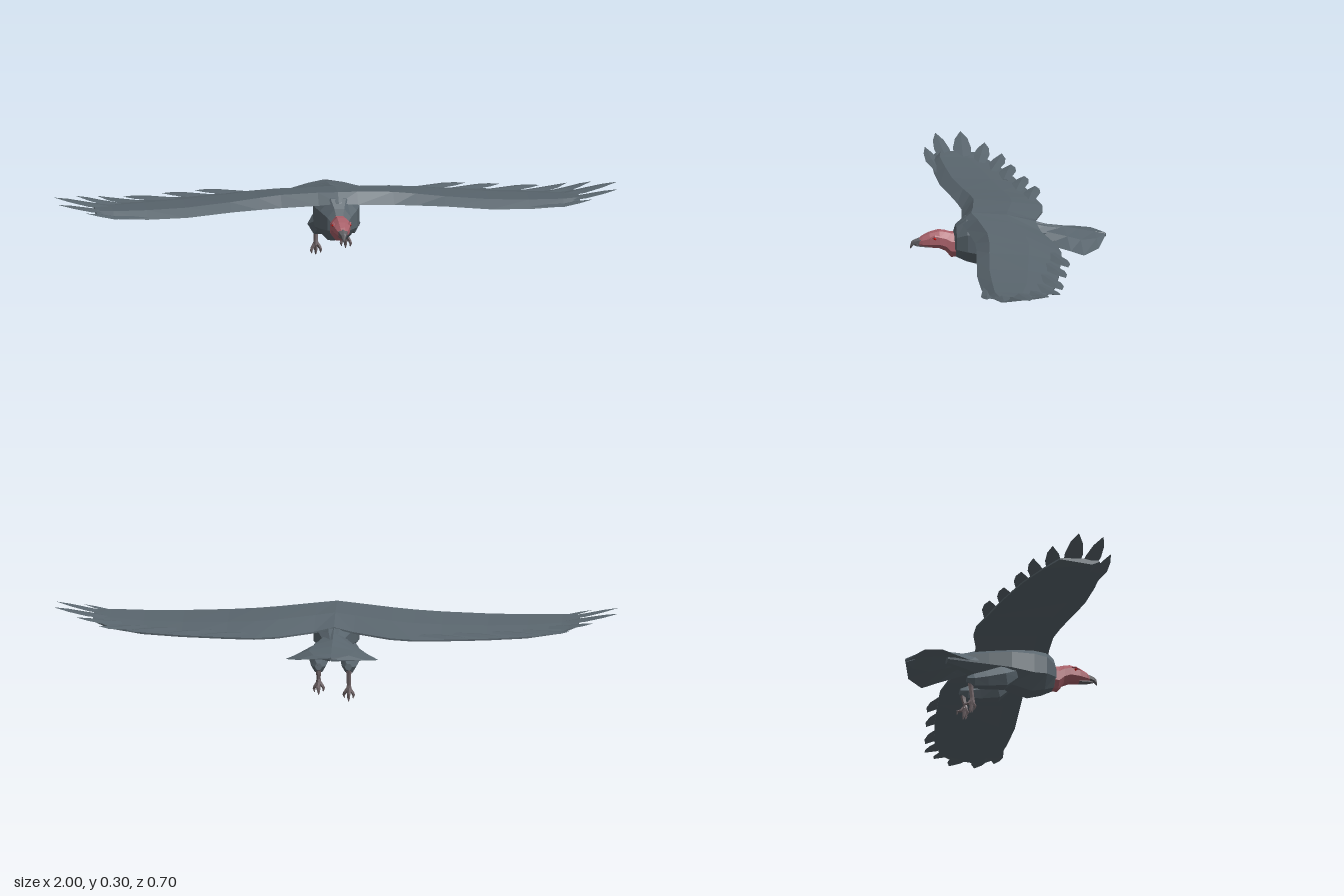
import * as THREE from 'three';

const V = (x, y, z) => new THREE.Vector3(x, y, z);
const paint = (color) => new THREE.MeshStandardMaterial({ color, flatShading: true, side: THREE.DoubleSide });
const plumage = paint(0x59656d), skin = paint(0xa9616a), horn = paint(0x605f63), scale = paint(0x6f6467), red = paint(0xcc1410);

// Skin a list of rings (equal point counts) and close both ends.
function loft(rings) {
  const p = [], n = rings[0].length;
  const tri = (...pts) => pts.forEach((v) => p.push(v.x, v.y, v.z));
  for (let i = 0; i < rings.length - 1; i++) {
    for (let j = 0; j < n; j++) {
      const k = (j + 1) % n, a = rings[i], b = rings[i + 1];
      tri(a[j], a[k], b[j]);
      tri(a[k], b[k], b[j]);
    }
  }
  const first = rings[0], last = rings[rings.length - 1];
  for (let j = 1; j < n - 1; j++) {
    tri(first[0], first[j + 1], first[j]);
    tri(last[0], last[j], last[j + 1]);
  }
  const g = new THREE.BufferGeometry();
  g.setAttribute('position', new THREE.Float32BufferAttribute(p, 3));
  g.computeVertexNormals();
  return g;
}

// Mirror in x and restore the outward winding.
function mirrored(geo) {
  const g = geo.clone(), a = g.attributes.position;
  for (let i = 0; i < a.count; i += 3) {
    const t = [0, 1, 2].map((k) => V(-a.getX(i + k), a.getY(i + k), a.getZ(i + k)));
    [t[0], t[2], t[1]].forEach((v, k) => a.setXYZ(i + k, v.x, v.y, v.z));
  }
  g.computeVertexNormals();
  return g;
}

// Oval ring across z: z, bottom, top, half width.
const oval = (n) => ([z, y0, y1, w]) => Array.from({ length: n }, (_, j) => {
  const a = ((j + 0.5) / n) * Math.PI * 2;
  const c = 1 / Math.cos(Math.PI / n);
  return V(Math.cos(a) * w * c, (y0 + y1) / 2 + Math.sin(a) * c * (y1 - y0) / 2, z);
});

// Tapered limb along a path of [x, y, z, radius].
function limb(path, sides) {
  const pts = path.map((q) => V(q[0], q[1], q[2]));
  return loft(pts.map((c, i) => {
    const d = pts[Math.min(i + 1, pts.length - 1)].clone().sub(pts[Math.max(i - 1, 0)]).normalize();
    const u = V(1, 0, 0).addScaledVector(d, -d.x).normalize();
    const w = d.clone().cross(u);
    return Array.from({ length: sides }, (_, j) => {
      const a = (j / sides) * Math.PI * 2;
      return c.clone().addScaledVector(u, Math.cos(a) * path[i][3]).addScaledVector(w, Math.sin(a) * path[i][3]);
    });
  }));
}

// Wing stations: x, leading z, trailing z, crest y, leading y, trailing y.
const stations = [
  [0, 0.17, -0.1, 0.306, 0.275, 0.262],
  [0.07, 0.155, -0.11, 0.302, 0.265, 0.247],
  [0.2, 0.14, -0.15, 0.292, 0.256, 0.236],
  [0.28, 0.145, -0.158, 0.284, 0.253, 0.233],
  [0.38, 0.157, -0.143, 0.275, 0.25, 0.231],
  [0.54, 0.175, -0.117, 0.265, 0.24, 0.23],
  [0.68, 0.178, -0.085, 0.262, 0.238, 0.231],
  [0.8, 0.175, -0.035, 0.263, 0.243, 0.238],
  [0.86, 0.155, 0.01, 0.264, 0.256, 0.253],
];
const wingGeometry = () => loft(stations.map(([x, zl, zt, top, yl, yt]) => {
  const at = (t) => zl + (zt - zl) * t;
  return [V(x, top, at(0.15)), V(x, yl, zl), V(x, Math.min(yl, top - 0.022), at(0.2)),
    V(x, yt - 0.003, zt), V(x, yt + 0.003, zt), V(x, yt + (top - yt) * 0.72, at(0.62))];
}));

// Flat pointed feather from root to tip, widest before the end.
function featherGeometry(rx, rz, tx, tz, width) {
  const rise = (x) => 0.243 + Math.max(0, x - 0.78) * 0.215;
  return loft([[0, 0.7], [0.55, 1], [0.8, 0.7], [1, 0.03]].map(([t, s]) => {
    const x = rx + (tx - rx) * t, z = rz + (tz - rz) * t, y = rise(x), w = width * s / 2;
    return [V(x, y + 0.005 * s, z), V(x, y, z + w), V(x, y - 0.004 * s, z), V(x, y, z - w)];
  }));
}
const feathers = [
  [0.68, 0.155, 0.9, 0.184, 0.045], [0.74, 0.115, 0.995, 0.135, 0.055],
  [0.74, 0.065, 1, 0.045, 0.065], [0.72, 0.02, 0.915, -0.03, 0.06],
  [0.66, -0.02, 0.835, -0.082, 0.06], [0.56, -0.055, 0.74, -0.103, 0.06],
  [0.42, -0.08, 0.6, -0.133, 0.06], [0.3, -0.11, 0.48, -0.157, 0.06],
];

// Arched tail fan: half outline as x, z, y, mirrored over a raised spine.
function tailGeometry() {
  const spine = [[-0.08, 0.268], [-0.13, 0.256], [-0.2, 0.243], [-0.25, 0.232], [-0.31, 0.219], [-0.35, 0.21]];
  const edge = [[0.045, -0.08, 0.215], [0.07, -0.13, 0.2], [0.13, -0.21, 0.19],
    [0.166, -0.252, 0.184], [0.126, -0.31, 0.196], [0.004, -0.35, 0.208]];
  return loft(spine.map(([z, y], i) => {
    const [x, ez, ey] = edge[i], my = y * 0.6 + ey * 0.4 + 0.004;
    return [V(0, y, z), V(-x * 0.5, my, (z + ez) / 2), V(-x, ey, ez), V(-x * 0.4, my - 0.012, z),
      V(0, y - 0.012 + i * 0.002, z), V(x * 0.4, my - 0.012, z), V(x, ey, ez), V(x * 0.5, my, (z + ez) / 2)];
  }).reverse());
}

export function createModel() {
  const model = new THREE.Group();
  const add = (name, geo, mat, parent = model) => {
    const m = new THREE.Mesh(geo, mat);
    m.name = name;
    parent.add(m);
    return m;
  };

  // Body, neck and head
  add('body', loft([
    [-0.2, 0.212, 0.238, 0.02], [-0.13, 0.188, 0.252, 0.042], [-0.06, 0.165, 0.272, 0.06], [0.02, 0.142, 0.288, 0.078],
    [0.1, 0.122, 0.296, 0.08], [0.15, 0.135, 0.288, 0.066], [0.185, 0.15, 0.26, 0.042], [0.193, 0.16, 0.235, 0.03],
  ].map(oval(8))), plumage);
  add('tail', tailGeometry(), plumage);
  add('head', loft([
    [0.18, 0.15, 0.236, 0.034], [0.203, 0.149, 0.236, 0.033], [0.222, 0.172, 0.242, 0.032], [0.245, 0.183, 0.246, 0.033],
    [0.28, 0.186, 0.238, 0.028], [0.305, 0.189, 0.226, 0.02], [0.318, 0.193, 0.217, 0.014],
  ].map(oval(8))), skin);

  // Hooked beak
  add('upperBeak', loft([
    [0.295, 0.196, 0.222, 0.018], [0.318, 0.196, 0.219, 0.015], [0.334, 0.195, 0.213, 0.01],
    [0.343, 0.186, 0.207, 0.006], [0.347, 0.183, 0.192, 0.002],
  ].map(oval(6))), horn);
  add('lowerBeak', loft([
    [0.28, 0.184, 0.198, 0.015], [0.31, 0.187, 0.198, 0.012], [0.332, 0.191, 0.196, 0.004],
  ].map(oval(6))), horn);

  const wing = wingGeometry();
  for (const side of [1, -1]) {
    const label = side > 0 ? 'left' : 'right';
    const flip = (g) => (side > 0 ? g : mirrored(g));

    // Wing with flight feathers
    const wingGroup = new THREE.Group();
    wingGroup.name = label + 'Wing';
    model.add(wingGroup);
    add('wingBlade', flip(wing), plumage, wingGroup);
    feathers.forEach((f) => add('flightFeather', flip(featherGeometry(...f)), plumage, wingGroup));

    // Eye and brow
    add(label + 'Eye', new THREE.OctahedronGeometry(0.006).translate(side * 0.03, 0.223, 0.262), red);
    add(label + 'Brow', flip(limb([[0.03, 0.229, 0.245, 0.003], [0.03, 0.231, 0.262, 0.005], [0.024, 0.222, 0.285, 0.002]], 4)), skin);

    // Leg, the left one drawn up slightly
    const leg = new THREE.Group();
    leg.name = label + 'Leg';
    model.add(leg);
    const lift = side > 0 ? 0.022 : 0;
    add('thigh', flip(limb([
      [0.045, 0.175, 0.035, 0.025], [0.052, 0.15, -0.01, 0.042], [0.055, 0.135, -0.07, 0.033],
      [0.054, 0.127, -0.115, 0.026], [0.053, 0.13, -0.14, 0.013],
    ], 6)), plumage, leg);
    add('shank', flip(limb([
      [0.053, 0.135, -0.127, 0.014], [0.053, 0.1, -0.125, 0.009], [0.053, 0.06 + lift, -0.12, 0.008], [0.053, 0.043 + lift, -0.12, 0.011],
    ], 5)), scale, leg);
    // Toes: sideways spread, tip height, tip z
    for (const [dx, y, z] of [[-0.017, 0.012, -0.117], [0, 0.002, -0.128], [0.017, 0.01, -0.115], [0.003, 0.02, -0.15]]) {
      add('toe', flip(limb([
        [0.053, 0.052 + lift, -0.121, 0.007], [0.053 + dx * 0.8, (y + 0.052) / 2 + lift, (z - 0.119) / 2, 0.006],
        [0.053 + dx, y + 0.012 + lift, z + 0.002, 0.005], [0.053 + dx * 0.9, y + lift, z, 0.001],
      ], 4)), scale, leg);
    }
  }
  return model;
}
